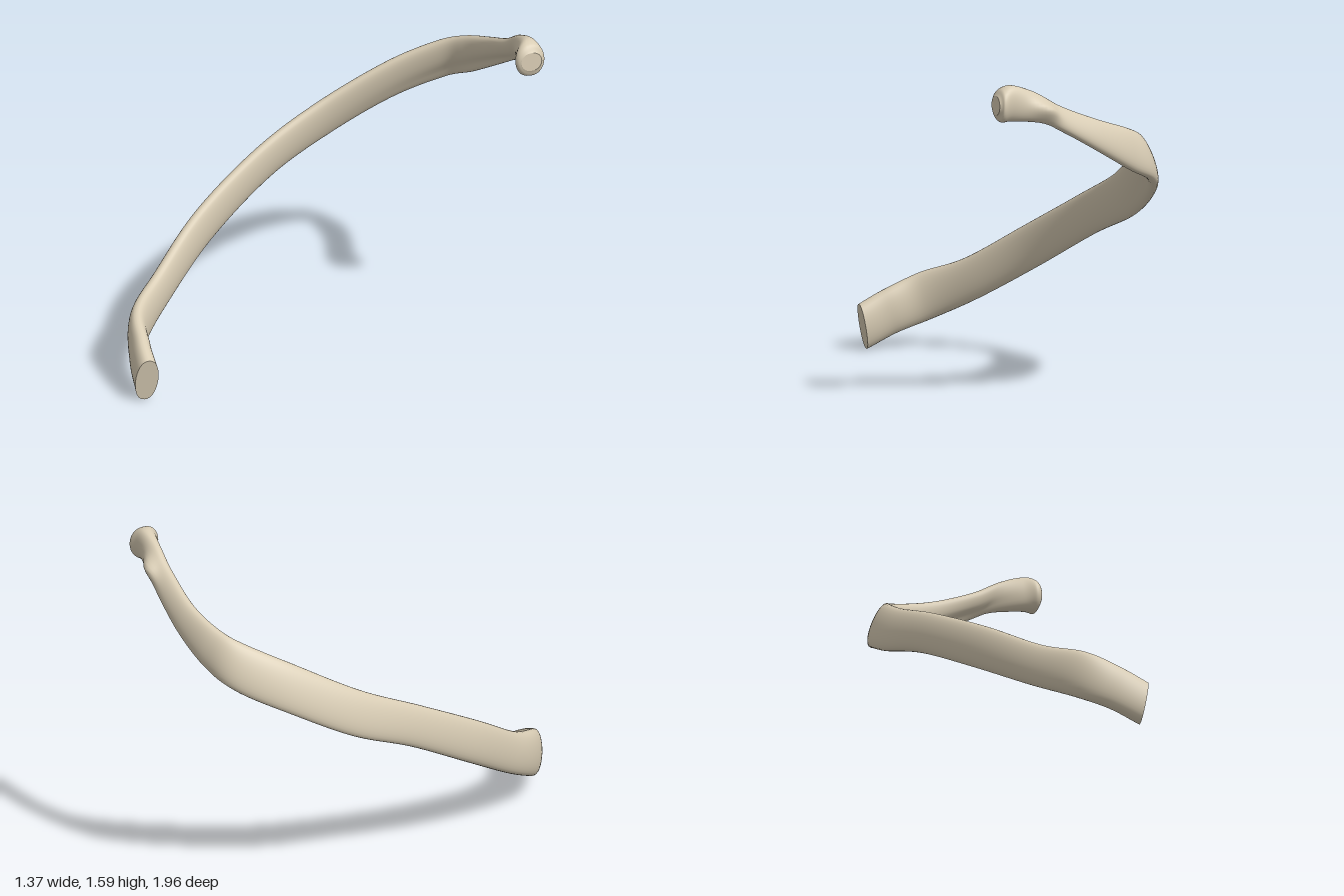
import * as THREE from 'three';

// Stations along the rib: upper edge xyz, lower edge xyz, thickness
const STATIONS = [
  [-0.315, 0.22, 0.94, -0.355, 0.005, 0.93, 0.11],
  [-0.42, 0.285, 0.87, -0.47, 0.075, 0.84, 0.1],
  [-0.545, 0.36, 0.76, -0.565, 0.14, 0.71, 0.09],
  [-0.605, 0.445, 0.54, -0.62, 0.26, 0.47, 0.083],
  [-0.635, 0.63, 0.22, -0.645, 0.445, 0.14, 0.08],
  [-0.585, 0.83, -0.15, -0.6, 0.65, -0.23, 0.078],
  [-0.475, 0.99, -0.46, -0.505, 0.79, -0.54, 0.078],
  [-0.28, 1.165, -0.72, -0.33, 0.945, -0.79, 0.078],
  [-0.1, 1.275, -0.87, -0.13, 1.06, -0.945, 0.08],
  [0.03, 1.33, -0.905, 0.04, 1.135, -0.955, 0.08],
  [0.2, 1.39, -0.87, 0.22, 1.24, -0.92, 0.075],
  [0.38, 1.47, -0.785, 0.4, 1.355, -0.85, 0.07],
  [0.5, 1.55, -0.735, 0.49, 1.405, -0.79, 0.07],
  [0.6, 1.59, -0.695, 0.6, 1.42, -0.68, 0.1],
  [0.645, 1.58, -0.66, 0.65, 1.42, -0.652, 0.14],
  [0.668, 1.545, -0.645, 0.67, 1.455, -0.643, 0.1],
];
const SIDES = 32, STEPS = 150;

const gauss = (x, centre, width) => Math.exp(-(((x - centre) / width) ** 2));

// Rings of points swept between the upper and lower edge curves
function makeRings() {
  const curve = (f) => new THREE.CatmullRomCurve3(STATIONS.map(f), false, 'catmullrom', 0.5);
  const upper = curve((s) => new THREE.Vector3(s[0], s[1], s[2]));
  const lower = curve((s) => new THREE.Vector3(s[3], s[4], s[5]));
  const middle = curve((s) => new THREE.Vector3((s[0] + s[3]) / 2, (s[1] + s[4]) / 2, (s[2] + s[5]) / 2));
  const thickness = curve((s, i) => new THREE.Vector3(s[6], i, 0));
  const rings = [];
  for (let i = 0; i <= STEPS; i++) {
    const u = i / STEPS, station = u * (STATIONS.length - 1);
    const centre = middle.getPoint(u);
    const half = upper.getPoint(u).sub(lower.getPoint(u)).multiplyScalar(0.5);
    const outward = half.clone().cross(middle.getTangent(u)).normalize();
    const t = thickness.getPoint(u).x / 2;
    const ring = [];
    for (let j = 0; j < SIDES; j++) {
      const a = (j / SIDES) * Math.PI * 2, c = Math.cos(a), s = Math.sin(a);
      let across = Math.sign(c) * Math.abs(c) ** 0.85 * t;
      // groove along the lower inner face, and the tubercle on the outer back
      if (c < 0) across += 0.018 * -c * gauss(s, -0.5, 0.35) * gauss(station, 9.5, 2);
      else across += 0.035 * c * gauss(s, -0.3, 0.6) * gauss(station, 11.8, 0.45);
      ring.push(centre.clone().addScaledVector(half, s).addScaledVector(outward, across));
    }
    rings.push(ring);
  }
  return rings;
}

function makeGeometry(points, index) {
  const geometry = new THREE.BufferGeometry().setFromPoints(points);
  geometry.setIndex(index);
  geometry.computeVertexNormals();
  return geometry;
}

function shaftGeometry(rings) {
  const index = [];
  for (let i = 0; i < STEPS; i++) {
    for (let j = 0; j < SIDES; j++) {
      const k = (j + 1) % SIDES;
      const a = i * SIDES + j, b = i * SIDES + k;
      index.push(a, b, a + SIDES, b, b + SIDES, a + SIDES);
    }
  }
  return makeGeometry(rings.flat(), index);
}

// Fan closing one end of the shaft
function capGeometry(ring, reversed) {
  const centre = ring.reduce((sum, p) => sum.add(p), new THREE.Vector3()).divideScalar(SIDES);
  const index = [];
  for (let j = 0; j < SIDES; j++) {
    const k = (j + 1) % SIDES;
    index.push(SIDES, reversed ? k : j, reversed ? j : k);
  }
  return makeGeometry([...ring, centre], index);
}

export function createModel() {
  const group = new THREE.Group();
  group.name = 'ribBone';
  const bone = new THREE.MeshStandardMaterial({ color: 0xd8ccb4 });
  const add = (name, geometry) => {
    const mesh = new THREE.Mesh(geometry, bone);
    mesh.name = name;
    group.add(mesh);
  };
  const rings = makeRings();
  add('ribShaft', shaftGeometry(rings));
  add('frontEndFace', capGeometry(rings[0], true));
  add('headFacet', capGeometry(rings[STEPS], false));
  return group;
}
